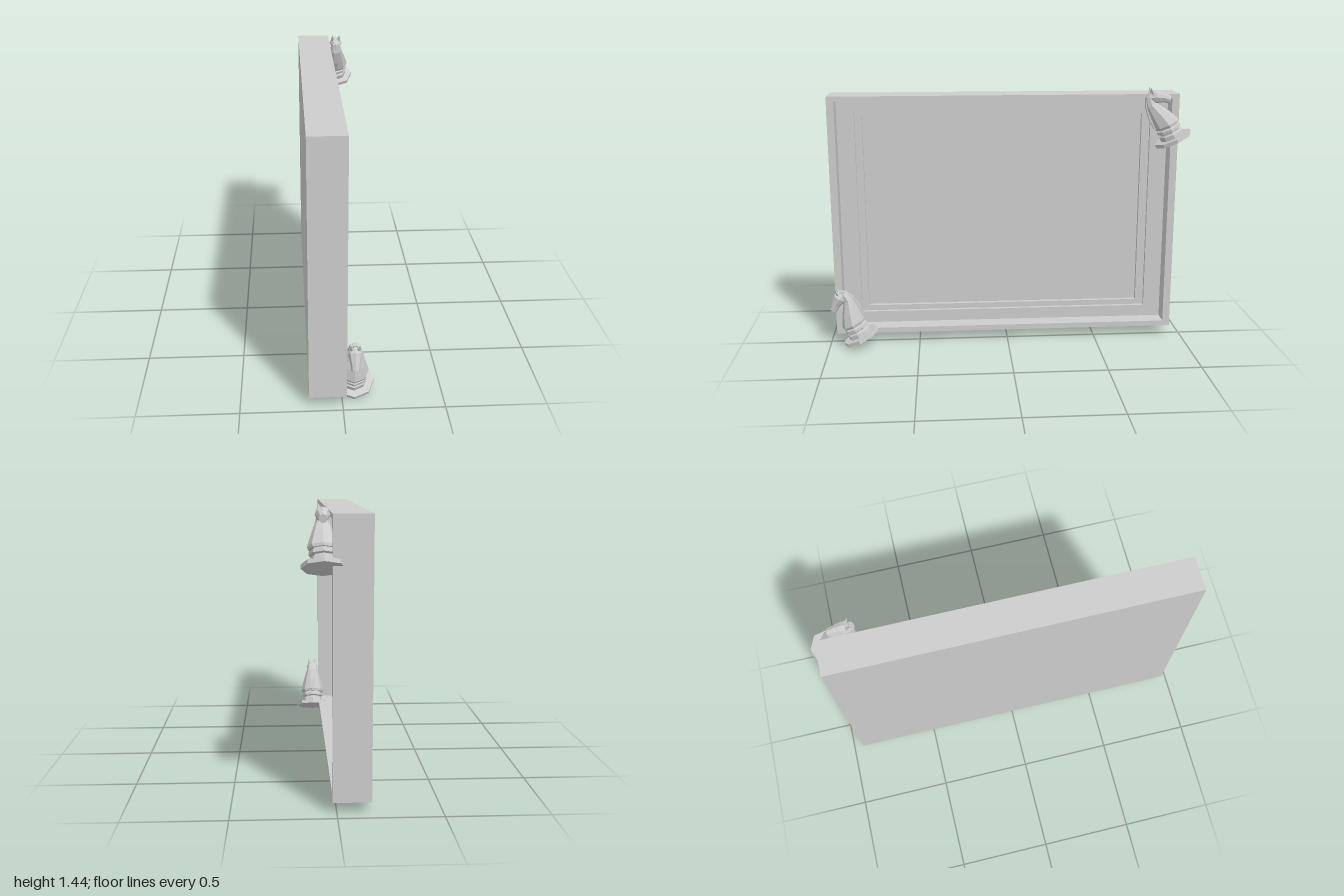
import * as THREE from 'three';

const grey = new THREE.MeshStandardMaterial({ color: 0xcccccc, flatShading: true });
grey.name = 'plain grey';

function part(name, geometry, parent) {
  const mesh = new THREE.Mesh(geometry, grey);
  mesh.name = name;
  parent.add(mesh);
  return mesh;
}

// Rectangle given as [zMin, zMax, yMin, yMax], drawn with shape x = -z
function rectangle(path, [z0, z1, y0, y1]) {
  return path.moveTo(-z1, y0).lineTo(-z0, y0).lineTo(-z0, y1).lineTo(-z1, y1).closePath();
}

// Slab between two x positions, with an optional rectangular opening
function slab(outer, inner, x0, x1) {
  const shape = rectangle(new THREE.Shape(), outer);
  if (inner) shape.holes.push(rectangle(new THREE.Path(), inner));
  return new THREE.ExtrudeGeometry(shape, { depth: x1 - x0, bevelEnabled: false })
    .rotateY(Math.PI / 2).translate(x0, 0, 0);
}

// Skin over eight-sided sections [forward, height, halfDepth, halfWidth];
// (uy, uz) is the direction of each section's depth
function loft(sections, uy, uz) {
  const n = 8, points = [];
  const rings = sections.map(([f, h, d, w]) => Array.from({ length: n }, (_, i) => {
    const a = (i / n) * Math.PI * 2, s = Math.sin(a) * d;
    return new THREE.Vector3(Math.cos(a) * w, h + s * uy, f + s * uz);
  }));
  const centre = ([f, h]) => new THREE.Vector3(0, h, f);
  const first = centre(sections[0]), last = centre(sections[sections.length - 1]);
  for (let i = 0; i < n; i++) {
    const j = (i + 1) % n;
    for (let k = 0; k < rings.length - 1; k++) {
      const a = rings[k], b = rings[k + 1];
      points.push(a[i], b[i], a[j], b[i], b[j], a[j]);
    }
    const top = rings[rings.length - 1];
    points.push(first, rings[0][i], rings[0][j], last, top[j], top[i]);
  }
  const geometry = new THREE.BufferGeometry().setFromPoints(points);
  geometry.computeVertexNormals();
  return geometry;
}

// Horse-head chess piece, facing +z
function createKnight(name) {
  const knight = new THREE.Group();
  knight.name = name;

  // Octagonal foot and stacked rings
  const profile = [[0, 0], [0.103, 0], [0.103, 0.02], [0.066, 0.02], [0.066, 0.044], [0.055, 0.05],
    [0.055, 0.057], [0.067, 0.062], [0.067, 0.077], [0.056, 0.083], [0.056, 0.092], [0, 0.092]];
  part('base', new THREE.LatheGeometry(profile.map(p => new THREE.Vector2(...p)), 8), knight);

  // Chest tapering into the neck
  part('neck', loft([
    [0, 0.088, 0.066, 0.068], [-0.002, 0.102, 0.07, 0.074], [-0.016, 0.16, 0.056, 0.058],
    [-0.038, 0.232, 0.03, 0.036], [-0.03, 0.28, 0.02, 0.024],
  ], 0, 1), knight);

  // Head from poll to muzzle
  part('head', loft([
    [-0.035, 0.272, 0.02, 0.022], [0, 0.262, 0.036, 0.036],
    [0.04, 0.238, 0.025, 0.026], [0.068, 0.213, 0.021, 0.021],
  ], -0.84, -0.54), knight);

  // Mane ridge down the back of the neck
  const mane = new THREE.Shape([[-0.015, 0.297], [-0.045, 0.283], [-0.07, 0.233], [-0.078, 0.16],
    [-0.073, 0.1], [-0.05, 0.1], [-0.04, 0.16], [-0.03, 0.23]].map(p => new THREE.Vector2(...p)));
  part('mane', new THREE.ExtrudeGeometry(mane, { depth: 0.026, bevelEnabled: false })
    .translate(0, 0, -0.013).rotateY(-Math.PI / 2), knight);

  // Ears
  for (const side of [-1, 1]) {
    const ear = part(side > 0 ? 'leftEar' : 'rightEar', new THREE.ConeGeometry(0.015, 0.055, 4), knight);
    ear.position.set(side * 0.018, 0.297, -0.004);
    ear.rotation.z = -side * 0.18;
  }
  return knight;
}

export function createModel() {
  const model = new THREE.Group();
  model.name = 'framedPanel';

  // Deep outer rim, two inner steps and the back panel
  const outer = [-0.94, 0.965, 0.06, 1.4];
  const frame = new THREE.Group();
  frame.name = 'frame';
  model.add(frame);
  part('backPanel', slab(outer, null, -0.165, -0.118), frame);
  part('innerStep', slab(outer, [-0.76, 0.79, 0.185, 1.28], -0.118, -0.094), frame);
  part('outerStep', slab(outer, [-0.805, 0.83, 0.155, 1.31], -0.094, -0.073), frame);
  part('rim', slab(outer, [-0.9, 0.925, 0.09, 1.375], -0.073, 0.02), frame);

  // Tilted knights on opposite corners
  const tilt = 0.445;
  const lower = createKnight('lowerKnight');
  lower.position.set(0.06, 0.052, 0.823);
  lower.rotation.x = tilt;
  const upper = createKnight('upperKnight');
  upper.position.set(0.06, 1.153, -0.906);
  upper.rotation.set(-tilt, Math.PI, 0, 'YXZ');
  model.add(lower, upper);
  return model;
}
